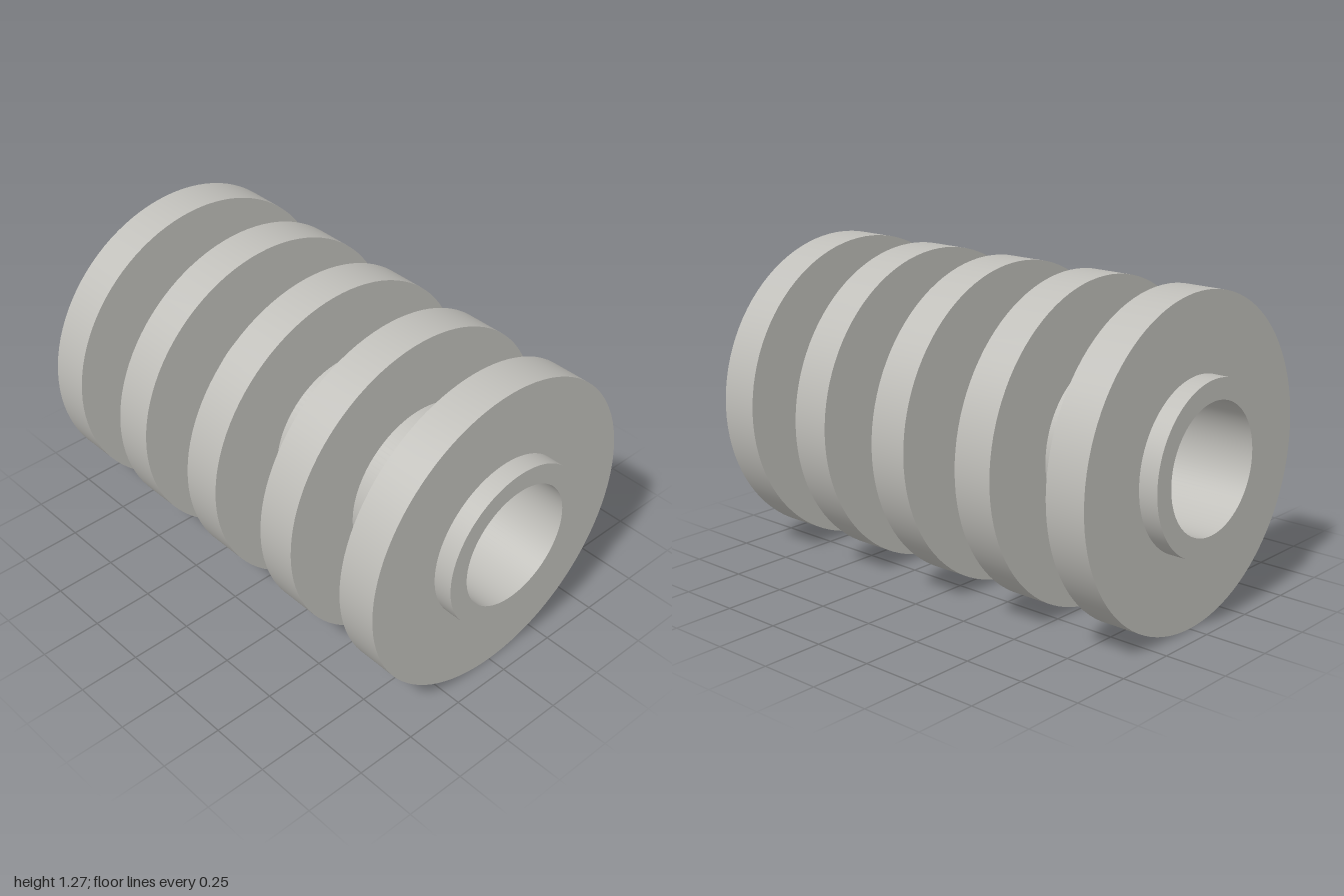
import * as THREE from 'three';
import { mergeGeometries } from 'three/addons/utils/BufferGeometryUtils.js';

const SEGMENTS = 96;
const DISC_R = 0.635, TUBE_R = 0.333, BORE_R = 0.252;
const DISC_HALF = 0.0825, PITCH = 0.42;

// Revolve a [radius, along] profile about the x axis; each edge stays sharp, the round smooth
function revolve(profile) {
  const strips = [];
  for (let i = 0; i < profile.length - 1; i++) {
    const edge = [profile[i], profile[i + 1]].map(([r, a]) => new THREE.Vector2(r, a));
    strips.push(new THREE.LatheGeometry(edge, SEGMENTS));
  }
  return mergeGeometries(strips).rotateZ(-Math.PI / 2);
}

export function createModel() {
  const model = new THREE.Group();
  model.name = 'finnedSpool';
  const metal = new THREE.MeshStandardMaterial({ color: 0xc0bfba });
  metal.name = 'warm grey';

  // Hollow core tube, open right through
  const tube = new THREE.Mesh(
    revolve([[BORE_R, -1], [TUBE_R, -1], [TUBE_R, 1], [BORE_R, 1], [BORE_R, -1]]), metal);
  tube.name = 'coreTube';
  tube.position.y = DISC_R;
  model.add(tube);

  // Five evenly spaced discs around the tube
  const discGeometry = revolve([
    [TUBE_R, -DISC_HALF], [DISC_R, -DISC_HALF], [DISC_R, DISC_HALF], [TUBE_R, DISC_HALF]]);
  for (let i = -2; i <= 2; i++) {
    const disc = new THREE.Mesh(discGeometry, metal);
    disc.name = `disc${i + 3}`;
    disc.position.set(i * PITCH, DISC_R, 0);
    model.add(disc);
  }
  return model;
}
